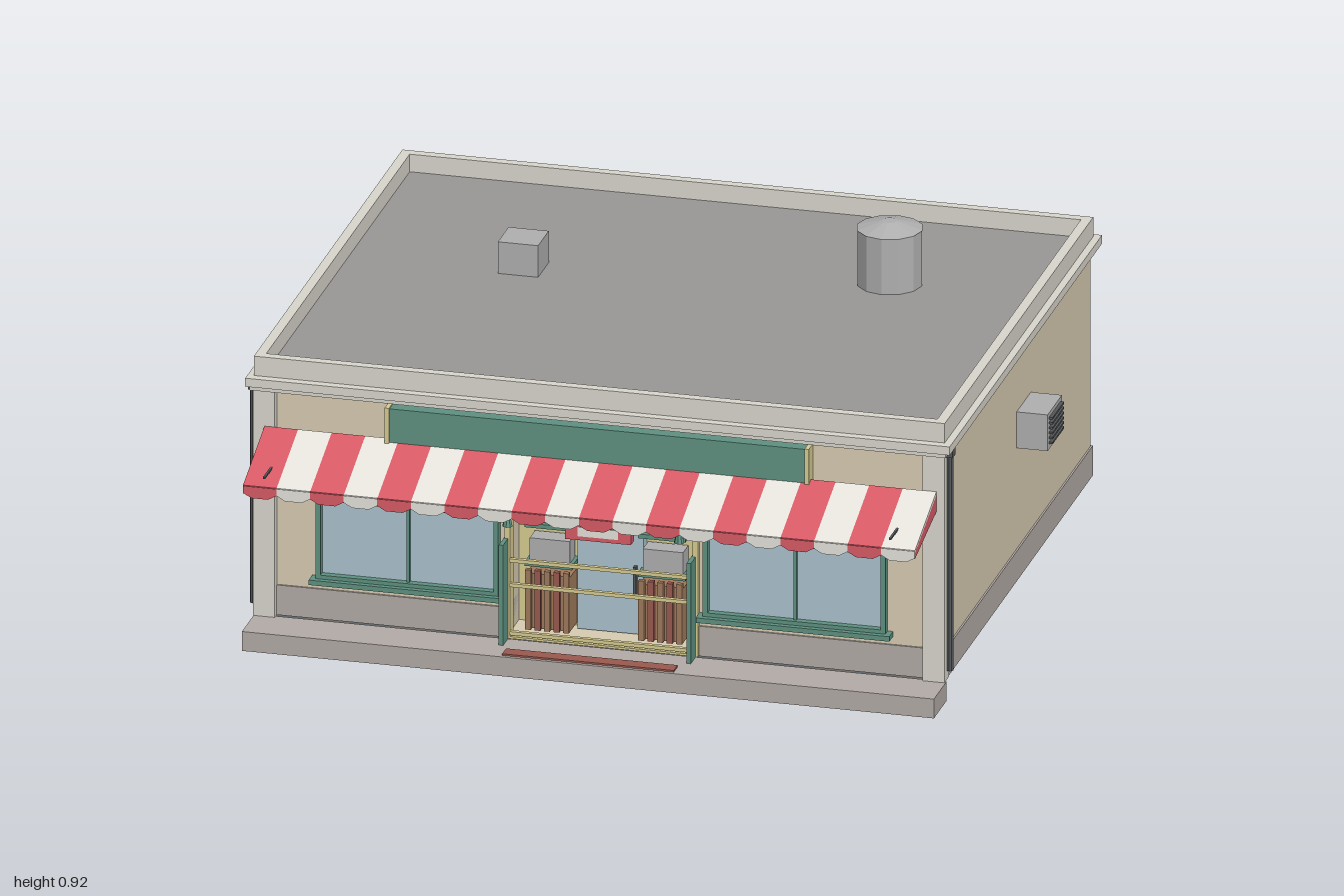
import * as THREE from 'three';

const mat = (color) => new THREE.MeshStandardMaterial({ color, side: THREE.DoubleSide, flatShading: true });
const M = {
  wall: mat(0xd8ccb2), base: mat(0xb4aca7), trim: mat(0xdad7cd), roof: mat(0x9a9896), grey: mat(0xb0b0b0),
  dark: mat(0x55585a), green: mat(0x5f9282), glass: mat(0xacc4d0), red: mat(0xd85a66), white: mat(0xe6e4dc),
  yellow: mat(0xd9cd92), wood: mat(0xa07a5c), mat: mat(0x9a5a50), tileA: mat(0x7d7873), tileB: mat(0x6c757a),
};

export function createModel() {
  const root = new THREE.Group();
  const CX = -0.035; // centre line of the shop
  const group = (name, parent = root) => {
    const g = new THREE.Group();
    g.name = name;
    parent.add(g);
    return g;
  };
  const add = (name, geo, m, parent = root) => {
    const mesh = new THREE.Mesh(geo, m);
    mesh.name = name;
    parent.add(mesh);
    return mesh;
  };
  // Box given by its extents
  const box = (name, x0, x1, y0, y1, z0, z1, m, parent) => {
    const g = new THREE.BoxGeometry(x1 - x0, y1 - y0, z1 - z0);
    g.translate((x0 + x1) / 2, (y0 + y1) / 2, (z0 + z1) / 2);
    return add(name, g, m, parent);
  };
  const cyl = (name, rt, rb, h, n, x, y, z, m, parent) => {
    const mesh = add(name, new THREE.CylinderGeometry(rt, rb, h, n), m, parent);
    mesh.position.set(x, y + h / 2, z);
    return mesh;
  };
  const rectPath = (P, x0, x1, y0, y1) => {
    const p = new P();
    p.moveTo(x0, y0); p.lineTo(x1, y0); p.lineTo(x1, y1); p.lineTo(x0, y1); p.closePath();
    return p;
  };
  // Rectangular ring, thick along z
  const ring = (name, o, i, z0, z1, m, parent) => {
    const s = rectPath(THREE.Shape, ...o);
    s.holes.push(rectPath(THREE.Path, ...i));
    const g = new THREE.ExtrudeGeometry(s, { depth: z1 - z0, bevelEnabled: false });
    g.translate(0, 0, z0);
    return add(name, g, m, parent);
  };
  // Rectangular ring lying flat, thick along y
  const flatRing = (name, x, z, w, y0, y1, m, parent) => {
    const mesh = ring(name, [x[0], x[1], -z[1], -z[0]], [x[0] + w, x[1] - w, -z[1] + w, -z[0] - w], y0, y1, m, parent);
    mesh.rotation.x = -Math.PI / 2;
    return mesh;
  };

  // Walls, with the front wall opened for the entrance
  const shell = group('building');
  box('walls', -0.975, 0.905, 0.055, 0.735, -0.87, 0.52, M.wall, shell);
  ring('frontWall', [-0.975, 0.905, 0.055, 0.735], [-0.29, 0.23, 0.06, 0.47], 0.52, 0.64, M.wall, shell);
  for (const [a, b] of [[-0.98, -0.29], [0.23, 0.91]]) box('frontPlinth', a, b, 0.055, 0.14, 0.52, 0.645, M.base, shell);
  box('plinth', -0.98, 0.91, 0.055, 0.14, -0.877, 0.52, M.base, shell);
  for (const s of [-1, 1]) {
    const x = CX + s * 0.917;
    box('pilaster', x - 0.03, x + 0.03, 0.055, 0.71, 0.62, 0.665, M.trim, shell);
    cyl('downpipe', 0.01, 0.01, 0.65, 8, CX + s * 0.953, 0.08, 0.633, M.dark, shell);
    box('pipeHopper', CX + s * 0.953 - 0.012, CX + s * 0.953 + 0.012, 0.69, 0.73, 0.618, 0.648, M.dark, shell);
  }
  // Checkered floor
  const floor = group('checkeredFloor');
  const nx = 16, nz = 13, tx = 1.84 / nx, tz = 1.465 / nz;
  for (let i = 0; i < nx; i++) for (let j = 0; j < nz; j++) {
    const x = -0.955 + i * tx, z = -0.835 + j * tz;
    box('floorTile', x, x + tx, 0.033, 0.056, z, z + tz, (i + j) % 2 ? M.tileA : M.tileB, floor);
  }
  // Roof, cornice and parapet
  const top = group('roof');
  box('roofDeck', -0.96, 0.89, 0.73, 0.742, -0.86, 0.64, M.roof, top);
  flatRing('corniceLower', [-0.988, 0.918], [-0.88, 0.677], 0.05, 0.7, 0.713, M.trim, top);
  flatRing('cornice', [-0.997, 0.932], [-0.888, 0.687], 0.06, 0.713, 0.737, M.trim, top);
  flatRing('parapet', [-0.98, 0.912], [-0.873, 0.662], 0.027, 0.737, 0.792, M.trim, top);
  box('roofUnit', -0.54, -0.43, 0.74, 0.832, -0.31, -0.2, M.grey, top);
  cyl('tank', 0.088, 0.088, 0.16, 12, 0.48, 0.74, -0.4, M.grey, top);
  cyl('tankCap', 0.02, 0.09, 0.02, 12, 0.48, 0.9, -0.4, M.grey, top);

  // Pavement and door mat
  box('pavement', -0.98, 0.915, 0, 0.055, 0.655, 0.785, M.base);
  box('doorMat', -0.27, 0.2, 0.055, 0.06, 0.735, 0.775, M.mat);

  // Shop windows
  for (const cx of [-0.56, 0.5]) {
    const w = group('shopWindow');
    const l = cx - 0.25, r = cx + 0.25;
    box('glass', l, r, 0.18, 0.475, 0.63, 0.645, M.glass, w);
    ring('frame', [l, r, 0.175, 0.48], [l + 0.013, r - 0.013, 0.188, 0.467], 0.63, 0.665, M.green, w);
    box('mullion', cx - 0.004, cx + 0.004, 0.18, 0.475, 0.64, 0.655, M.green, w);
    box('transom', l, r, 0.395, 0.401, 0.64, 0.653, M.dark, w);
    box('sill', l - 0.015, r + 0.015, 0.163, 0.177, 0.63, 0.68, M.green, w);
  }

  // Sign board above the awning
  const sign = group('signBoard');
  box('board', -0.605, 0.535, 0.56, 0.687, 0.635, 0.68, M.green, sign);
  for (const x of [-0.61, 0.54]) box('boardEnd', x - 0.006, x + 0.006, 0.56, 0.69, 0.635, 0.685, M.yellow, sign);

  // Striped awning with scalloped valance
  const awning = group('awning');
  const n = 20, x0 = -0.95, sw = 1.84 / n;
  const profile = (pts, depth, x, name, m) => {
    const s = new THREE.Shape(pts.map((p) => new THREE.Vector2(...p)));
    const mesh = add(name, new THREE.ExtrudeGeometry(s, { depth, bevelEnabled: false }), m, awning);
    mesh.rotation.y = -Math.PI / 2;
    mesh.position.x = x + depth;
  };
  for (let i = 0; i < n; i++) {
    const m = i % 2 ? M.white : M.red, x = x0 + i * sw;
    profile([[0.665, 0.587], [0.885, 0.505], [0.89, 0.513], [0.665, 0.597]], sw, x, 'stripe', m);
    const s = new THREE.Shape();
    s.moveTo(0, 0.515); s.lineTo(0, 0.493); s.lineTo(sw * 0.25, 0.48);
    s.lineTo(sw * 0.75, 0.48); s.lineTo(sw, 0.493); s.lineTo(sw, 0.515);
    add('scallop', new THREE.ExtrudeGeometry(s, { depth: 0.005, bevelEnabled: false }), m, awning).position.set(x, 0, 0.884);
  }
  for (const x of [x0, x0 + 1.835]) {
    profile([[0.665, 0.54], [0.887, 0.49], [0.887, 0.513], [0.665, 0.595]], 0.005, x, 'awningSide', M.red);
  }
  for (const s of [-1, 1]) box('awningArm', CX + s * 0.857 - 0.003, CX + s * 0.857 + 0.003, 0.538, 0.543, 0.64, 0.888, M.dark, awning);

  // Entrance recess: glazed door, stocked shelves, rails and lanterns
  const entry = group('entrance');
  ring('doorFrame', [-0.295, 0.235, 0.056, 0.475], [-0.28, 0.22, 0.062, 0.455], 0.62, 0.655, M.yellow, entry);
  box('recessBack', -0.29, 0.23, 0.06, 0.47, 0.515, 0.525, M.yellow, entry);
  box('doorGlass', -0.12, 0.06, 0.065, 0.42, 0.525, 0.56, M.glass, entry);
  box('doorHandle', 0.035, 0.043, 0.18, 0.26, 0.56, 0.575, M.dark, entry);
  box('openPlaque', -0.12, 0.06, 0.37, 0.42, 0.66, 0.69, M.red, entry);
  box('plaquePanel', -0.085, 0.025, 0.382, 0.408, 0.69, 0.693, M.white, entry);
  for (const y of [0.073, 0.21, 0.28, 0.43]) box('rail', -0.28, 0.22, y - 0.005, y + 0.005, 0.648, 0.66, M.yellow, entry);
  for (const s of [-1, 1]) {
    const mid = CX + s * 0.155; // middle of each shelf stack
    box('crate', mid - 0.06, mid + 0.06, 0.07, 0.225, 0.53, 0.6, M.wood, entry);
    for (let i = 0; i < 5; i++) {
      const x = mid - 0.052 + i * 0.026;
      box('crateSlat', x - 0.008, x + 0.008, 0.07, 0.24, 0.6, 0.615, i % 2 ? M.mat : M.wood, entry);
    }
    for (const y of [0.245, 0.355]) {
      box('shelf', mid - 0.065, mid + 0.065, y, y + 0.012, 0.525, 0.6, M.green, entry);
      box('goods', mid - 0.055, mid + 0.055, y + 0.012, y + 0.075, 0.53, 0.585, M.grey, entry);
    }
    const px = CX + s * 0.257;
    box('doorPost', px - 0.006, px + 0.006, 0.055, 0.34, 0.64, 0.705, M.green, entry);
    box('upperBracket', CX + s * 0.17 - 0.012, CX + s * 0.17 + 0.012, 0.435, 0.47, 0.64, 0.67, M.green, entry);
    const lx = CX + s * 0.235;
    box('lanternArm', lx - 0.004, lx + 0.004, 0.436, 0.444, 0.64, 0.725, M.dark, entry);
    cyl('lantern', 0.006, 0.014, 0.035, 8, lx, 0.403, 0.72, M.green, entry);
  }

  // Back door
  const back = group('backDoor');
  box('doorPanel', -0.57, -0.4, 0.06, 0.44, -0.885, -0.865, M.green, back);
  box('doorKnob', -0.555, -0.54, 0.235, 0.25, -0.892, -0.88, M.grey, back);

  // Wall air conditioner with louvres
  const ac = group('airConditioner');
  box('case', 0.9, 0.99, 0.427, 0.53, -0.255, -0.107, M.grey, ac);
  for (let i = 0; i < 6; i++) {
    const y = 0.442 + i * 0.014;
    box('louvre', 0.985, 1, y, y + 0.006, -0.24, -0.122, M.dark, ac);
  }
  return root;
}
